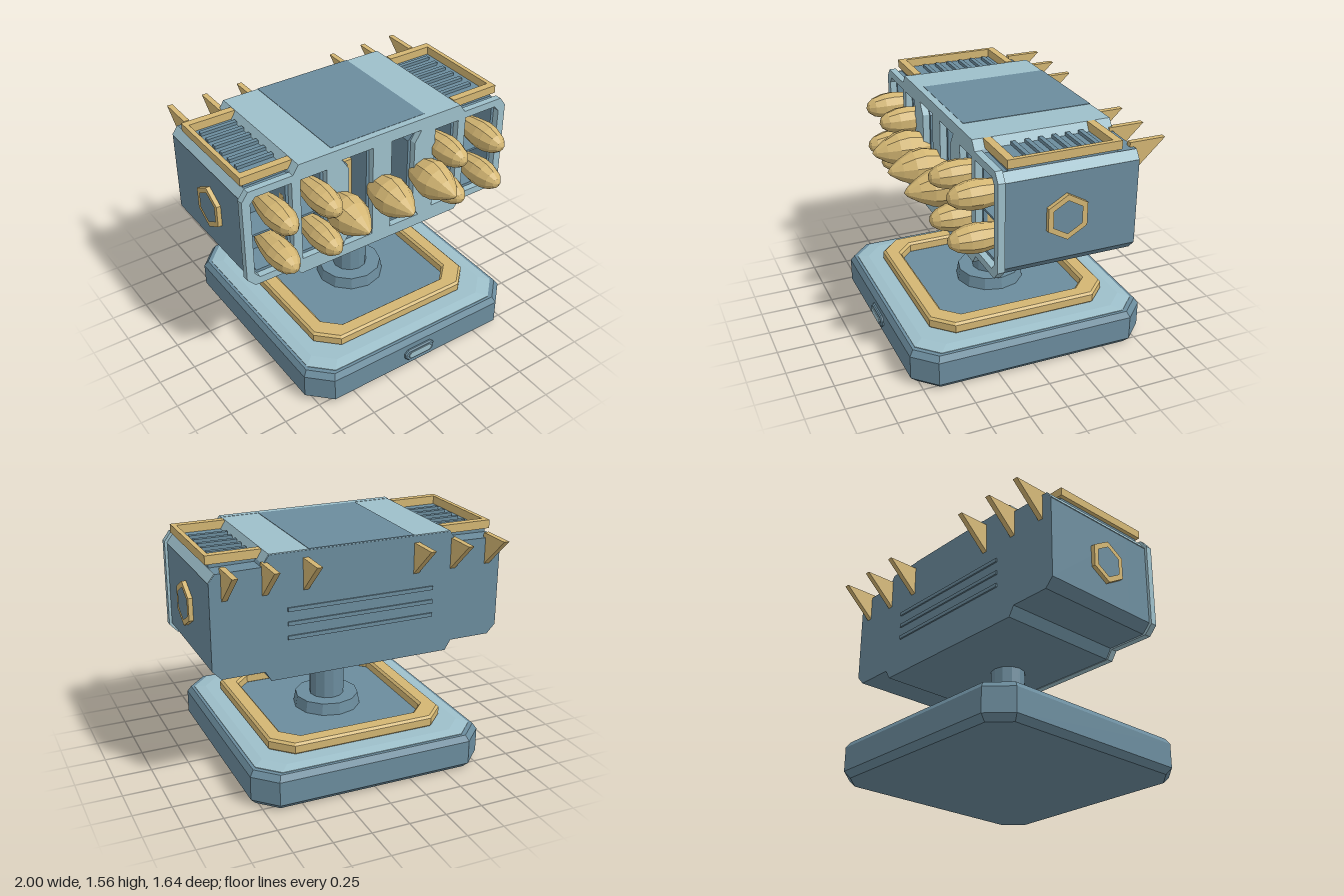
import * as THREE from 'three';

const mat = (name, color) => {
  const m = new THREE.MeshStandardMaterial({ color, flatShading: true });
  m.name = name;
  return m;
};

export function createModel() {
  const light = mat('light blue', 0x9dbfca);
  const mid = mat('steel blue', 0x6b8c9d);
  const gold = mat('sand gold', 0xd3b673);
  const root = new THREE.Group();
  root.name = 'launcherTurret';

  const add = (parent, name, geo, material, x = 0, y = 0, z = 0) => {
    const m = new THREE.Mesh(geo, material);
    m.name = name;
    m.position.set(x, y, z);
    parent.add(m);
    return m;
  };
  const box = (w, h, d) => new THREE.BoxGeometry(w, h, d);
  const vecs = (pts) => pts.map(([x, y]) => new THREE.Vector2(x, y));
  // Extrude an outline along z from z0 to z1
  const prism = (pts, z0, z1, holes = [], bevel = 0) => {
    const s = new THREE.Shape(vecs(pts));
    s.holes = holes.map((h) => new THREE.Path(vecs(h)));
    const g = new THREE.ExtrudeGeometry(s, {
      depth: z1 - z0 - 2 * bevel, bevelEnabled: bevel > 0, bevelSegments: 1,
      bevelSize: bevel, bevelThickness: bevel, bevelOffset: -bevel,
    });
    return g.translate(0, 0, z0 + bevel);
  };
  // Rectangle with cut corners
  const oct = (hx, hy, c) => [
    [hx - c, -hy], [hx, -hy + c], [hx, hy - c], [hx - c, hy],
    [-hx + c, hy], [-hx, hy - c], [-hx, -hy + c], [-hx + c, -hy],
  ];
  const mirrored = (half) => [...half, ...half.map(([x, y]) => [-x, y]).reverse()];
  // Stack of cut-corner sections [y, halfX, halfZ, cut]
  const loft = (levels) => {
    const pos = [], idx = [], n = 8;
    for (const [y, hx, hz, c] of levels) for (const [x, z] of oct(hx, hz, c)) pos.push(x, y, -z);
    for (let l = 0; l < levels.length - 1; l++) {
      for (let i = 0; i < n; i++) {
        const a = l * n + i, b = l * n + (i + 1) % n;
        idx.push(a, b, b + n, a, b + n, a + n);
      }
    }
    const top = (levels.length - 1) * n;
    for (let i = 1; i < n - 1; i++) idx.push(0, i + 1, i, top, top + i, top + i + 1);
    let g = new THREE.BufferGeometry();
    g.setAttribute('position', new THREE.Float32BufferAttribute(pos, 3));
    g.setIndex(idx);
    g = g.toNonIndexed();
    g.computeVertexNormals();
    return g;
  };

  // ---- Base ----
  const base = new THREE.Group();
  base.name = 'base';
  base.position.z = -0.01;
  root.add(base);
  add(base, 'baseSlab', loft([
    [0, 0.765, 0.77, 0.12], [0.04, 0.8, 0.81, 0.14], [0.2, 0.8, 0.81, 0.14], [0.238, 0.775, 0.785, 0.13],
  ]), mid);
  add(base, 'baseTopPlate', loft([
    [0.23, 0.755, 0.765, 0.13], [0.242, 0.755, 0.765, 0.13], [0.255, 0.69, 0.7, 0.12],
  ]), light);
  const ring = prism(oct(0.61, 0.615, 0.13), 0.25, 0.33, [oct(0.5, 0.505, 0.1)], 0.015);
  add(base, 'baseRing', ring.rotateX(-Math.PI / 2), gold);
  add(base, 'baseFloor', loft([[0.25, 0.53, 0.535, 0.1], [0.262, 0.53, 0.535, 0.1]]), mid);
  add(base, 'postFlange', new THREE.CylinderGeometry(0.215, 0.23, 0.085, 12), mid, 0, 0.298);
  add(base, 'post', new THREE.CylinderGeometry(0.117, 0.117, 0.55, 12), mid, 0, 0.55);
  add(base, 'buttonFrame', prism(oct(0.115, 0.042, 0.025), 0.79, 0.828, [], 0.008), mid, 0, 0.12);
  add(base, 'button', prism(oct(0.09, 0.025, 0.018), 0.82, 0.834), light, 0, 0.12);

  // ---- Head body ----
  const head = new THREE.Group();
  head.name = 'launcherHead';
  root.add(head);
  const bodyOutline = mirrored([
    [0.6, 0.755], [0.64, 0.82], [0.915, 0.82], [0.972, 0.88], [0.972, 1.43],
    [0.932, 1.48], [0.65, 1.485], [0.6, 1.553],
  ]);
  const plateOutline = mirrored([
    [0.61, 0.75], [0.65, 0.81], [0.935, 0.81], [0.99, 0.87], [0.99, 1.44],
    [0.945, 1.5], [0.645, 1.5], [0.605, 1.56],
  ]);
  // Launch windows, for one side s
  const windows = (s, inset = 0) => {
    const i = inset;
    return [
      [[0.655 + i, 0.86 + i], [0.9, 0.86 + i], [0.935 - i, 0.9], [0.935 - i, 1.41], [0.9, 1.45 - i], [0.655 + i, 1.45 - i]],
      [[0.41 + i, 0.86 + i], [0.595 - i, 0.86 + i], [0.595 - i, 1.45 - i], [0.41 + i, 1.45 - i]],
      [[0.07 + i, 0.83 + i], [0.3 - i, 0.83 + i], [0.25 - i, 0.91], [0.25 - i, 1.4], [0.3 - i, 1.48 - i], [0.07 + i, 1.48 - i]],
    ].map((w) => w.map(([x, y]) => [s * x, y]));
  };
  add(head, 'bodyRear', prism(bodyOutline, -0.555, 0.12), mid);
  add(head, 'bodyFront', prism(bodyOutline, 0.12, 0.31, [...windows(1, 0.02), ...windows(-1, 0.02)]), mid);
  add(head, 'frontPlate', prism(plateOutline, 0.31, 0.355, [...windows(1), ...windows(-1)]), light);
  add(head, 'roof', prism(mirrored([[0.645, 1.49], [0.603, 1.558]]), -0.552, 0.31), light);
  add(head, 'roofPanel', box(0.7, 0.006, 0.862), mid, 0, 1.558, -0.122);

  // Back grille bars
  for (const y of [1.02, 1.11, 1.2]) add(head, 'backBar', box(0.98, 0.025, 0.02), mid, 0, y, -0.555);

  // ---- Missiles ----
  const missileGeo = (profile, sides) =>
    new THREE.LatheGeometry(vecs(profile), sides).rotateX(Math.PI / 2);
  const small = missileGeo([
    [0, 0.14], [0.055, 0.18], [0.078, 0.28], [0.093, 0.39], [0.088, 0.46], [0.066, 0.53], [0.035, 0.57], [0, 0.585],
  ], 10);
  const large = missileGeo([
    [0, 0.2], [0.06, 0.24], [0.1, 0.34], [0.128, 0.45], [0.115, 0.52], [0.075, 0.6], [0.03, 0.665], [0, 0.69],
  ], 10);
  for (const x of [-0.327, 0, 0.327]) add(head, 'largeMissile', large, gold, x, 1.155, 0);

  // ---- Mirrored head details ----
  for (const s of [-1, 1]) {
    const flip = (pts) => pts.map(([x, y]) => [s * x, y]);
    for (const x of [0.78, 0.475]) {
      for (const y of [1.297, 1.013]) add(head, 'smallMissile', small, gold, s * x, y, 0);
    }
    add(head, 'outerShelf', box(0.28, 0.014, 0.2), mid, s * 0.795, 1.157, 0.225);
    add(head, 'innerShelf', box(0.18, 0.014, 0.2), mid, s * 0.502, 1.157, 0.225);
    // Gold plates inside the bays
    add(head, 'bayPlate', prism(flip([
      [0.04, 0.91], [0.17, 0.91], [0.2, 0.94], [0.2, 1.27], [0.17, 1.3], [0.04, 1.3],
    ]), 0.12, 0.15), gold);
    add(head, 'bayTrim', box(0.12, 0.015, 0.02), gold, s * 0.15, 1.38, 0.13);
    add(head, 'sideBayTrim', box(0.015, 0.34, 0.05), gold, s * 0.668, 1.157, 0.26);

    // Light strip along the upper edge
    add(head, 'edgeStrip', prism(flip([
      [0.96, 1.42], [0.976, 1.43], [0.935, 1.484], [0.92, 1.475],
    ]), -0.553, 0.31), light);

    // Roof vent: frame on three sides plus slats
    add(head, 'ventOuterRail', box(0.03, 0.055, 0.73), gold, s * 0.94, 1.533, -0.08);
    add(head, 'ventFrontRail', box(0.335, 0.055, 0.05), gold, s * 0.775, 1.533, 0.26);
    add(head, 'ventRearRail', box(0.335, 0.055, 0.05), gold, s * 0.775, 1.533, -0.42);
    add(head, 'ventBed', box(0.3, 0.03, 0.7), mid, s * 0.78, 1.488, -0.08);
    for (let i = 0; i < 6; i++) {
      add(head, 'ventSlat', box(0.25, 0.025, 0.03), mid, s * 0.76, 1.512, -0.337 + i * 0.089);
    }

    // Hexagonal side ring
    const hex = (r) => Array.from({ length: 6 }, (_, k) => [
      r * Math.sin(k * Math.PI / 3), r * Math.cos(k * Math.PI / 3),
    ]);
    const sideRing = prism(hex(0.146), -0.02, 0.03, [hex(0.107)]).rotateY(s * Math.PI / 2);
    add(head, 'sideRing', sideRing, gold, s * 0.97, 1.155, -0.085);

    // Rear fins, drawn in (-z, y) then turned backwards
    for (const x of [0.37, 0.63, 0.88]) {
      const fin = prism([[0.53, 1.51], [0.53, 1.33], [0.555, 1.31], [0.767, 1.51]], -0.018, 0.018);
      add(head, 'rearFin', fin.rotateY(Math.PI / 2), gold, s * x, 0, 0);
    }
  }
  return root;
}
